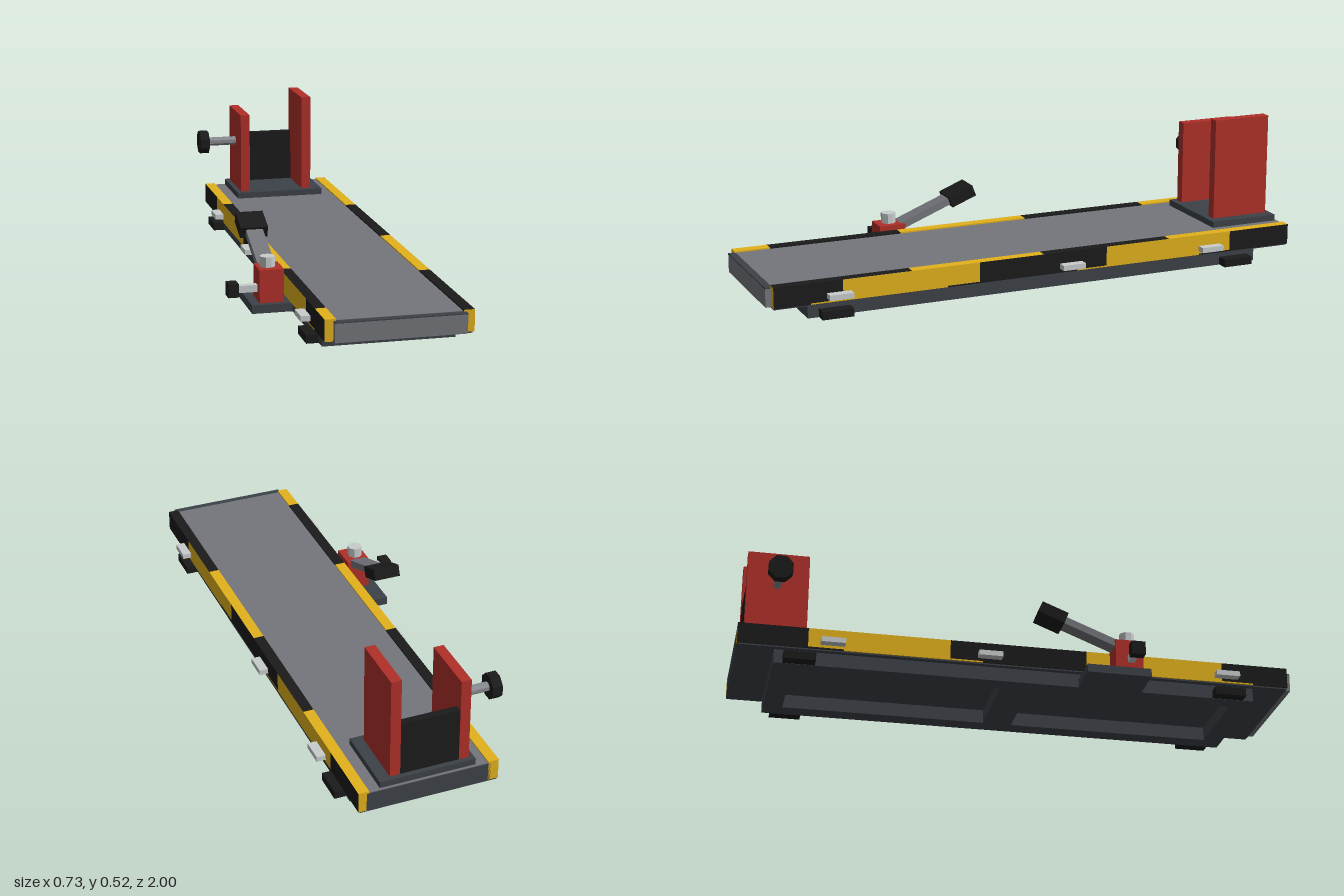
import * as THREE from 'three';

const mat = (name, color) => {
  const m = new THREE.MeshStandardMaterial({ color });
  m.name = name;
  return m;
};

export function createModel() {
  const root = new THREE.Group();
  root.name = 'clampingBench';
  const yellow = mat('hazard yellow', 0xe2b11c);
  const black = mat('black rubber', 0x1b1b1b);
  const grey = mat('deck grey', 0x74767c);
  const steel = mat('screw steel', 0x878a8f);
  const slate = mat('slate frame', 0x3d4248);
  const red = mat('red paint', 0xb03029);
  const silver = mat('bright steel', 0xc8cccc);
  for (const m of [yellow, black, grey, steel, slate, red, silver]) m.flatShading = true;

  const add = (name, geo, material, parent = root) => {
    const mesh = new THREE.Mesh(geo, material);
    mesh.name = name;
    parent.add(mesh);
    return mesh;
  };
  // Box given by its limits on each axis
  const box = (name, material, x0, x1, y0, y1, z0, z1, parent) => {
    const g = new THREE.BoxGeometry(x1 - x0, y1 - y0, z1 - z0);
    g.translate((x0 + x1) / 2, (y0 + y1) / 2, (z0 + z1) / 2);
    return add(name, g, material, parent);
  };
  // Eight-sided rod along x
  const rodX = (name, material, x0, x1, y, z, r, parent) => {
    const g = new THREE.CylinderGeometry(r, r, x1 - x0, 8);
    g.rotateY(Math.PI / 8).rotateZ(Math.PI / 2);
    g.translate((x0 + x1) / 2, y, z);
    return add(name, g, material, parent);
  };

  // Base frame with two open bays underneath
  const rect = (path, x0, x1, z0, z1) =>
    path.moveTo(x0, -z0).lineTo(x0, -z1).lineTo(x1, -z1).lineTo(x1, -z0).closePath();
  const frame = new THREE.Shape();
  rect(frame, -0.148, 0.308, -0.87, 0.855);
  for (const [z0, z1] of [[-0.8, -0.06], [0.045, 0.785]]) {
    const bay = new THREE.Path();
    rect(bay, -0.083, 0.243, z0, z1);
    frame.holes.push(bay);
  }
  const frameGeo = new THREE.ExtrudeGeometry(frame, { depth: 0.05, bevelEnabled: false });
  frameGeo.rotateX(-Math.PI / 2);
  add('baseFrame', frameGeo, slate);

  // Deck
  box('underPlate', slate, -0.168, 0.325, 0.05, 0.055, -0.998, 0.978);
  box('deckBody', slate, -0.143, 0.302, 0.055, 0.122, -1, 0.98);
  box('deckSurface', grey, -0.143, 0.302, 0.122, 0.125, -0.998, 0.975);
  box('frontLip', grey, -0.143, 0.302, 0.055, 0.12, 0.98, 1);
  box('frontLipCap', slate, -0.143, 0.302, 0.12, 0.124, 0.975, 1);

  // Side rails: stripes on the top, outer face and lower edge are offset from each other
  const sideCuts = [-0.755, -0.255, 0.235, 0.735];
  const lowerCuts = [-0.63, -0.14, 0.355, 0.85];
  const buildRail = (name, x0, x1, topCuts, outerSide) => {
    const rail = new THREE.Group();
    rail.name = name;
    root.add(rail);
    const cuts = [...new Set([-1, ...topCuts, ...sideCuts, ...lowerCuts, 0.98])].sort((a, b) => a - b);
    const odd = (list, z) => list.filter((c) => c < z).length % 2 === 1;
    for (let i = 0; i < cuts.length - 1; i++) {
      const mid = (cuts[i] + cuts[i + 1]) / 2;
      const top = odd(topCuts, mid) ? black : yellow;
      const side = odd(sideCuts, mid) ? yellow : black;
      const lower = odd(lowerCuts, mid) ? yellow : black;
      const faces = [side, side, top, black, yellow, yellow];
      faces[outerSide > 0 ? 1 : 0] = top;
      box('railSegment', faces, x0, x1, 0.06, 0.13, cuts[i], cuts[i + 1], rail);
      const edge = [lower, lower, lower, lower, yellow, yellow];
      box('railLowerEdge', edge, x0, x1, 0.055, 0.06, cuts[i], cuts[i + 1], rail);
    }
  };
  buildRail('leftRail', 0.293, 0.331, [-0.505, -0.01, 0.485], 1);
  buildRail('rightRail', -0.172, -0.134, [-0.63, -0.14, 0.355, 0.85], -1);

  // Side lugs and feet, mirrored about the deck centre line
  const centre = 0.0795;
  for (const s of [-1, 1]) {
    const span = (a, b) => [centre + s * a, centre + s * b].sort((p, q) => p - q);
    for (const z of [-0.67, -0.115, 0.75])
      box('sideLug', silver, ...span(0.245, 0.284), 0.07, 0.089, z - 0.043, z + 0.043);
    for (const z of [-0.783, 0.76])
      box('foot', black, ...span(0.2, 0.271), 0.001, 0.03, z - 0.056, z + 0.056);
  }

  // Clamp at the back
  const clamp = new THREE.Group();
  clamp.name = 'clamp';
  root.add(clamp);
  box('clampPlate', slate, -0.092, 0.252, 0.125, 0.148, -0.99, -0.73, clamp);
  box('leftJaw', red, 0.173, 0.21, 0.148, 0.519, -0.973, -0.753, clamp);
  box('rightJaw', red, -0.074, -0.038, 0.148, 0.457, -0.973, -0.753, clamp);
  box('backStop', black, -0.038, 0.173, 0.148, 0.346, -0.972, -0.945, clamp);
  rodX('clampScrew', steel, -0.19, -0.07, 0.334, -0.865, 0.017, clamp);
  rodX('clampKnob', black, -0.222, -0.186, 0.334, -0.865, 0.046, clamp);

  // Hand pump on the right side
  const pump = new THREE.Group();
  pump.name = 'pump';
  root.add(pump);
  box('pumpPlate', slate, -0.29, -0.14, 0, 0.03, 0.21, 0.44, pump);
  box('pumpBody', red, -0.259, -0.173, 0.03, 0.148, 0.32, 0.42, pump);
  const piston = new THREE.CylinderGeometry(0.027, 0.027, 0.05, 8);
  piston.rotateY(Math.PI / 8);
  add('piston', piston, silver, pump).position.set(-0.221, 0.16, 0.37);
  box('pumpScrew', silver, -0.33, -0.255, 0.062, 0.087, 0.363, 0.387, pump);
  box('pumpKnob', black, -0.365, -0.328, 0.05, 0.098, 0.35, 0.4, pump);

  // Lever rising towards the back
  const lever = new THREE.Group();
  lever.name = 'lever';
  lever.position.set(-0.217, 0.137, 0.33);
  lever.rotation.x = 0.375;
  pump.add(lever);
  box('leverArm', grey, -0.0305, 0.0305, -0.013, 0.013, -0.22, 0, lever);
  box('leverGrip', black, -0.0495, 0.0495, -0.021, 0.021, -0.302, -0.202, lever);

  return root;
}
